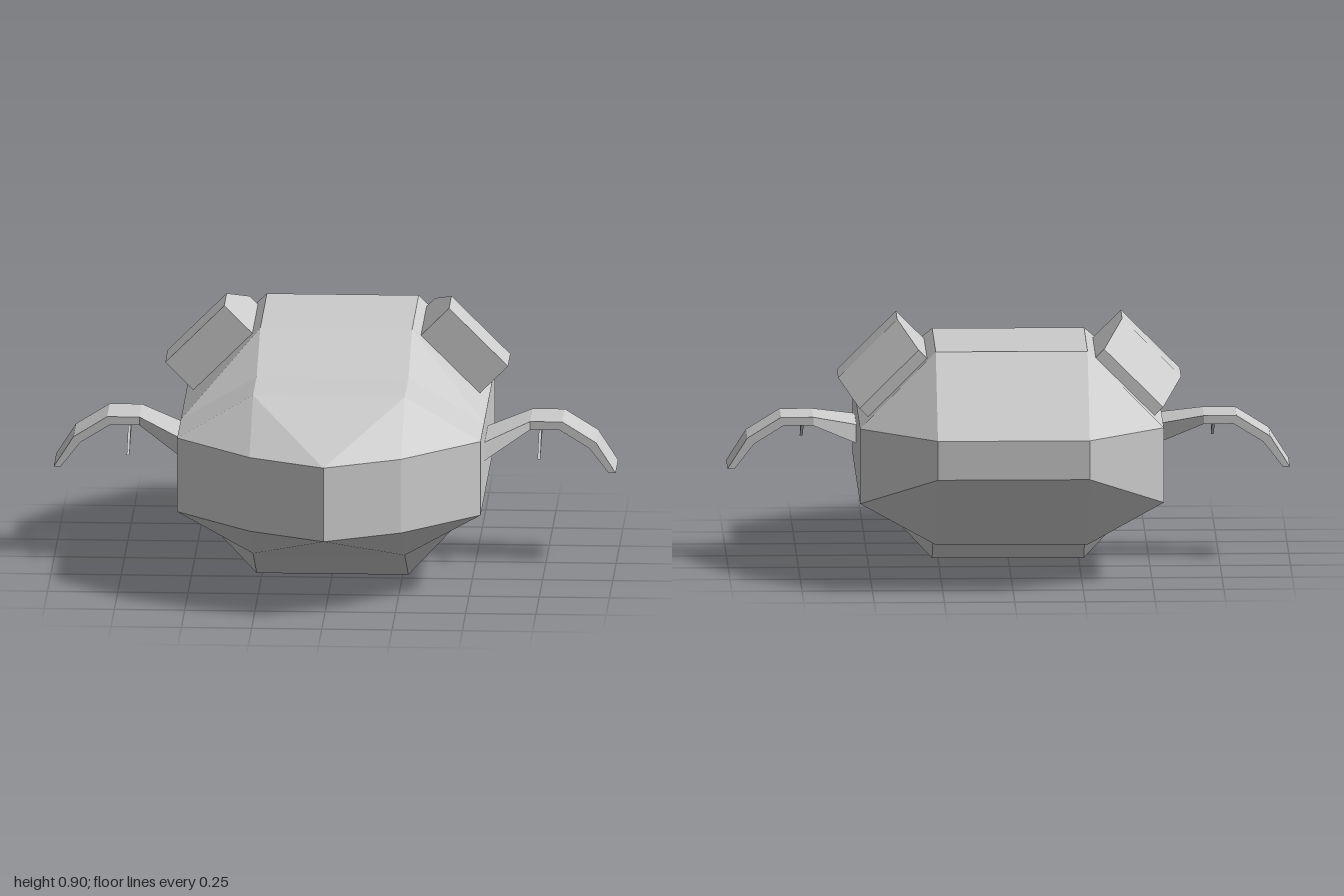
import * as THREE from 'three';

// Triangles of a surface spanned by rows of points; collapsed ones are skipped.
function skin(rows) {
  const tris = [];
  const add = (...t) => {
    const [a, b, c] = t.map((p) => new THREE.Vector3(...p));
    if (new THREE.Triangle(a, b, c).getArea() > 1e-6) tris.push(t);
  };
  for (let j = 0; j < rows.length - 1; j++) {
    for (let i = 0; i < rows[j].length - 1; i++) {
      const a = rows[j][i], b = rows[j][i + 1];
      const c = rows[j + 1][i + 1], d = rows[j + 1][i];
      add(a, b, c);
      add(a, c, d);
    }
  }
  return tris;
}

// Closed solid through a list of cross-sections, with capped ends.
function loft(sections) {
  const cap = (s) => {
    const mid = [0, 1, 2].map((k) => s.reduce((sum, p) => sum + p[k], 0) / s.length);
    return new Array(s.length + 1).fill(mid);
  };
  return skin([cap(sections[0]), ...sections.map((s) => [...s, s[0]]), cap(sections.at(-1))]);
}

const mirror = (tris) => tris.map((t) => t.map(([x, y, z]) => [-x, y, z]).reverse());

function createMesh(name, tris, material) {
  const geometry = new THREE.BufferGeometry();
  geometry.setAttribute('position', new THREE.Float32BufferAttribute(tris.flat(2), 3));
  geometry.computeVertexNormals();
  const mesh = new THREE.Mesh(geometry, material);
  mesh.name = name;
  return mesh;
}

// Left half of the hull: rails from nose to tail, belly to roof.
function hullHalf() {
  const W = 0.54, N = 0.27;
  const keel = [
    [0, 0.14, 0.47], [N, 0.14, 0.47], [N, 0.14, 0.47], [N, 0.14, 0.47], [N, 0, 0.2],
    [N, 0, -0.07], [N, 0.15, -0.2], [N, 0.14, -0.61], [N, 0.14, -0.61], [0, 0.14, -0.61],
  ];
  const deck = [
    [0, 0.72, 0.47], [N, 0.72, 0.47], [N, 0.72, 0.47], [N, 0.72, 0.47], [N, 0.72, 0.2],
    [N, 0.83, -0.07], [N, 0.83, -0.07], [N, 0.83, -0.57], [N, 0.83, -0.57], [0, 0.83, -0.57],
  ];
  const rim = (y, tailY) => [
    [0, y, 0.88], [0, y, 0.88], [N, y, 0.74], [W, y, 0.47], [W, y, 0.2],
    [W, y, -0.07], [W, y, -0.07], [W, y, -0.61], [N, tailY, -0.88], [0, tailY, -0.88],
  ];
  const centre = (rail) => rail.map(([, y, z]) => [0, y, z]);
  return skin([centre(keel), keel, rim(0.29, 0.42), rim(0.56, 0.56), deck, centre(deck)]);
}

// Pod lying on the sloping shoulder, lower towards the back.
function pod() {
  return loft([[-0.11, 0.1], [-0.29, 0.1], [-0.53, 0.03]].map(([z, h]) => [
    [0.3 + h, 0.8 + h, z], [0.51 + h, 0.59 + h, z], [0.51, 0.59, z], [0.3, 0.8, z],
  ]));
}

// Drooping wing: outer (top) and inner (bottom) edge at each bend.
function wing() {
  const bends = [
    // top x, top y, bottom x, bottom y, back z, front z
    [0.53, 0.48, 0.53, 0.41, -0.06, 0.185],
    [0.695, 0.525, 0.695, 0.495, -0.155, 0.035],
    [0.81, 0.525, 0.8, 0.495, -0.155, 0.035],
    [0.93, 0.45, 0.905, 0.43, -0.155, 0.035],
    [1, 0.34, 0.975, 0.34, -0.155, 0.035],
  ];
  return loft(bends.map(([tx, ty, bx, by, back, front]) => [
    [tx, ty, back], [tx, ty, front], [bx, by, front], [bx, by, back],
  ]));
}

// Thin pointed fin under the wing, aimed forward.
function fin() {
  return loft([0.726, 0.736].map((x) => [[x, 0.5, -0.1], [x, 0.5, 0.01], [x, 0.41, 0.13]]));
}

export function createModel() {
  const model = new THREE.Group();
  const material = new THREE.MeshStandardMaterial({ color: 0xcccccc, flatShading: true });

  const half = hullHalf();
  model.add(createMesh('hull', [...half, ...mirror(half)], material));

  const parts = { Pod: pod(), Wing: wing(), Fin: fin() };
  for (const [name, tris] of Object.entries(parts)) {
    model.add(createMesh('left' + name, tris, material));
    model.add(createMesh('right' + name, mirror(tris), material));
  }
  return model;
}
